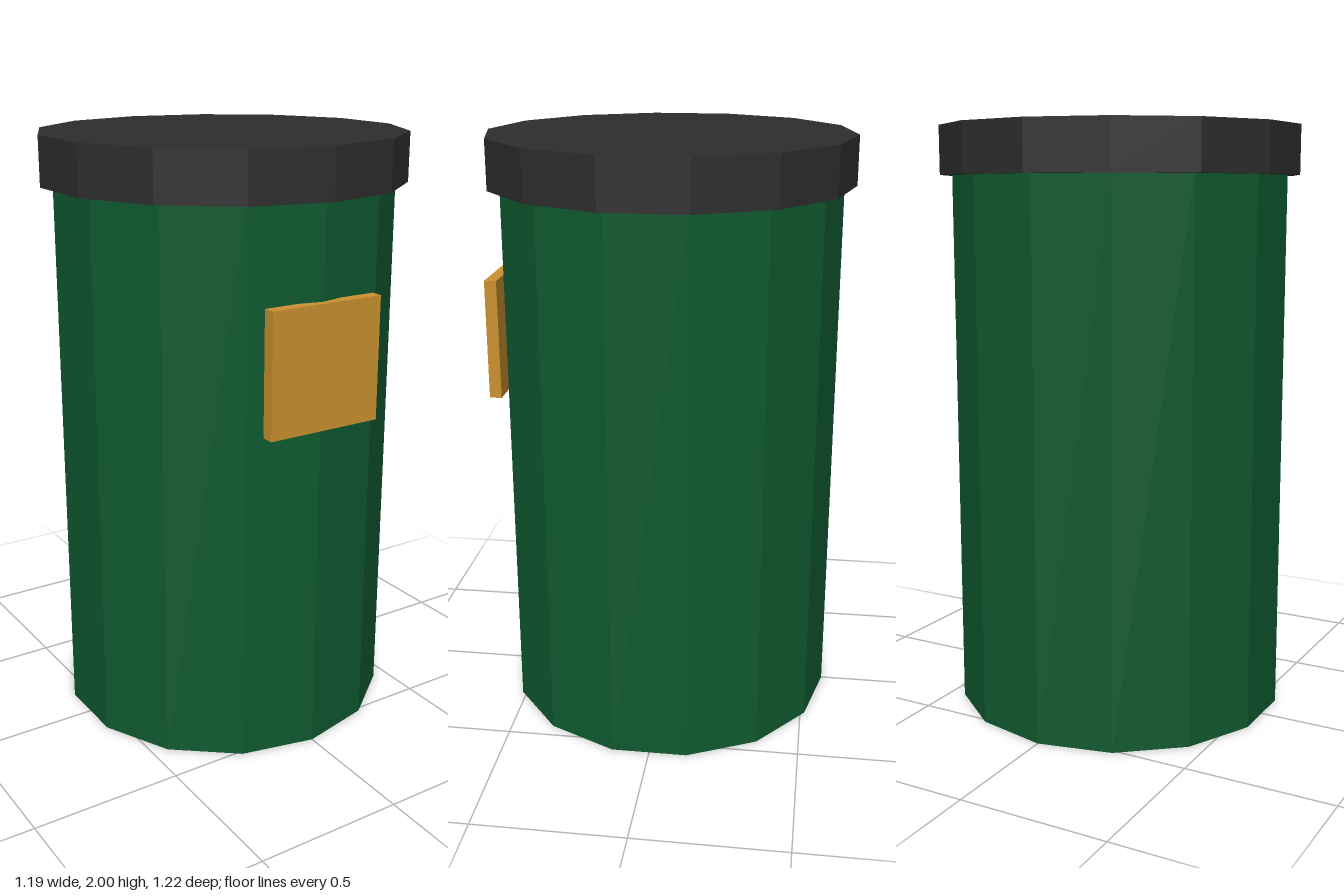
import * as THREE from 'three';

const SIDES = 14;

function flat(name, color) {
  const material = new THREE.MeshStandardMaterial({ color, flatShading: true });
  material.name = name;
  return material;
}

export function createModel() {
  const group = new THREE.Group();
  group.name = 'bin';

  const green = flat('dark green', 0x0f5a30);
  const charcoal = flat('charcoal', 0x2d2d2d);
  const amber = flat('amber', 0xcb912f);

  const add = (name, geometry, material, y, z = 0) => {
    const mesh = new THREE.Mesh(geometry, material);
    mesh.name = name;
    mesh.position.set(0, y, z);
    group.add(mesh);
  };

  // Faceted drum, with a corner facing the front
  add('body', new THREE.CylinderGeometry(0.571, 0.571, 1.84, SIDES), green, 0.92);

  // Overhanging lid
  add('lid', new THREE.CylinderGeometry(0.612, 0.612, 0.163, SIDES), charcoal, 1.9185);

  // Square label plate set into the front
  add('label', new THREE.BoxGeometry(0.408, 0.406, 0.041), amber, 1.329, 0.5735);

  return group;
}
